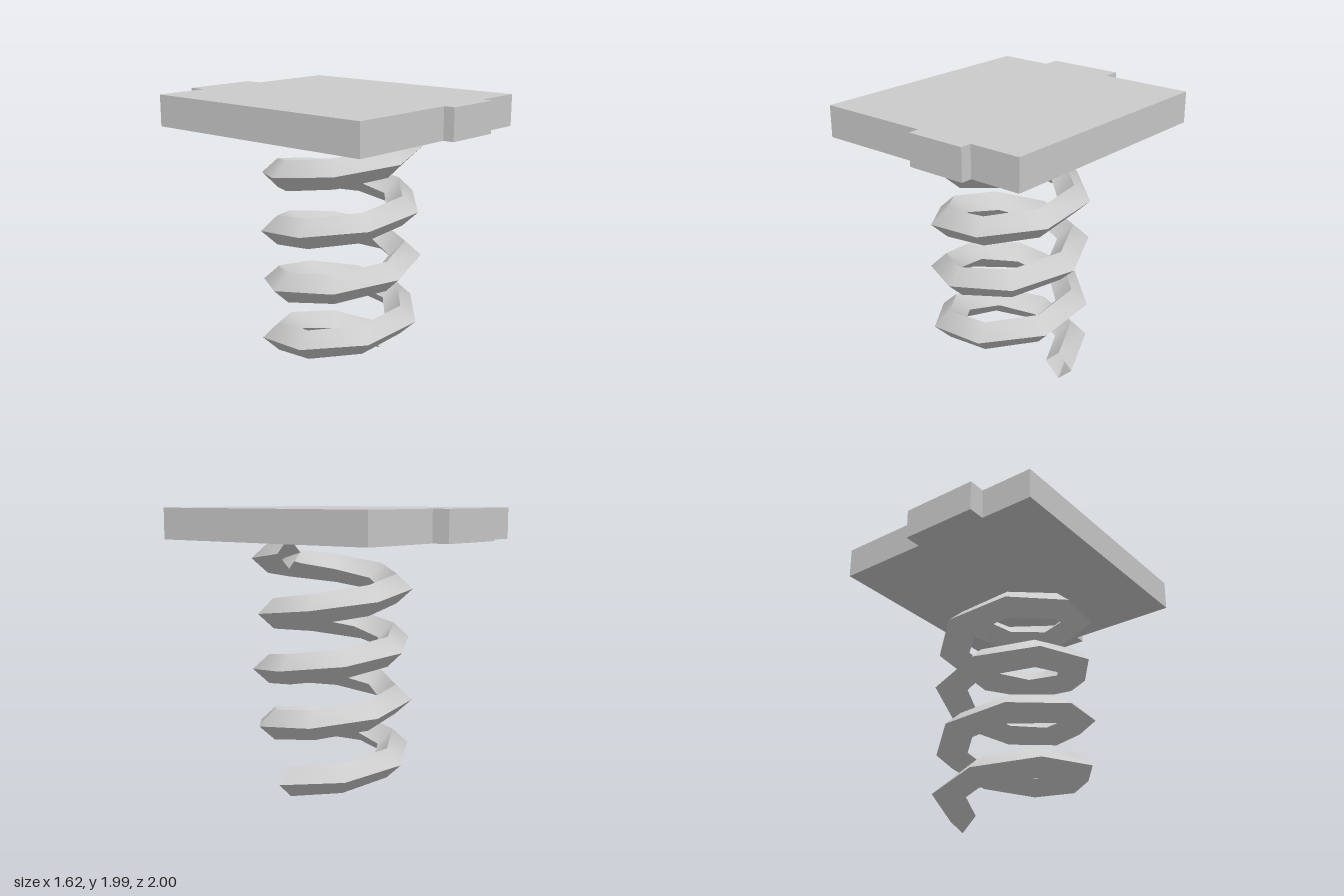
import * as THREE from 'three';

const TURNS = 4, STEPS = 30;            // 7.5 straight segments per turn
const RADIUS = 0.457, HALF_W = 0.115, HALF_H = 0.105;
const BASE = 0.105, RISE = 1.585;

// Corner of the diamond cross-section at a step along the helix
function coilPoint(step, corner) {
  const t = step / STEPS;
  const turn = t * TURNS * Math.PI * 2;
  const a = corner * Math.PI / 2;
  const r = RADIUS + HALF_W * Math.cos(a);
  return [r * Math.cos(turn), BASE + RISE * t + HALF_H * Math.sin(a), -r * Math.sin(turn)];
}

// Open-ended helix: four separate strips keep the long edges sharp
function coilGeometry() {
  const positions = [], indices = [];
  for (let side = 0; side < 4; side++) {
    const start = positions.length / 3;
    for (let k = 0; k <= STEPS; k++) {
      positions.push(...coilPoint(k, side), ...coilPoint(k, side + 1));
      if (k === STEPS) continue;
      const a = start + k * 2;
      indices.push(a, a + 2, a + 1, a + 2, a + 3, a + 1);
    }
  }
  const geometry = new THREE.BufferGeometry();
  geometry.setAttribute('position', new THREE.Float32BufferAttribute(positions, 3));
  geometry.setIndex(indices);
  geometry.computeVertexNormals();
  return geometry;
}

// Plate outline with one tab on the front edge and one on the back edge
function plateGeometry() {
  const outline = [
    [-0.81, 0.92], [0.01, 0.92], [0.01, 1], [0.44, 1], [0.44, 0.92], [0.81, 0.92],
    [0.81, -0.875], [0.14, -0.875], [0.14, -1], [-0.42, -1], [-0.42, -0.875], [-0.81, -0.875],
  ];
  const shape = new THREE.Shape(outline.map(([x, z]) => new THREE.Vector2(x, -z)));
  const geometry = new THREE.ExtrudeGeometry(shape, { depth: 0.22, bevelEnabled: false });
  return geometry.rotateX(-Math.PI / 2).translate(0, 1.77, 0);
}

export function createModel() {
  const model = new THREE.Group();
  model.name = 'springPlatform';

  const plate = new THREE.Mesh(plateGeometry(), new THREE.MeshStandardMaterial({ color: 0xcccccc }));
  plate.name = 'topPlate';

  const spring = new THREE.Mesh(
    coilGeometry(),
    new THREE.MeshStandardMaterial({ color: 0xcccccc, side: THREE.DoubleSide })
  );
  spring.name = 'coilSpring';
  spring.position.set(0.009, 0, 0.06);

  model.add(plate, spring);
  return model;
}
